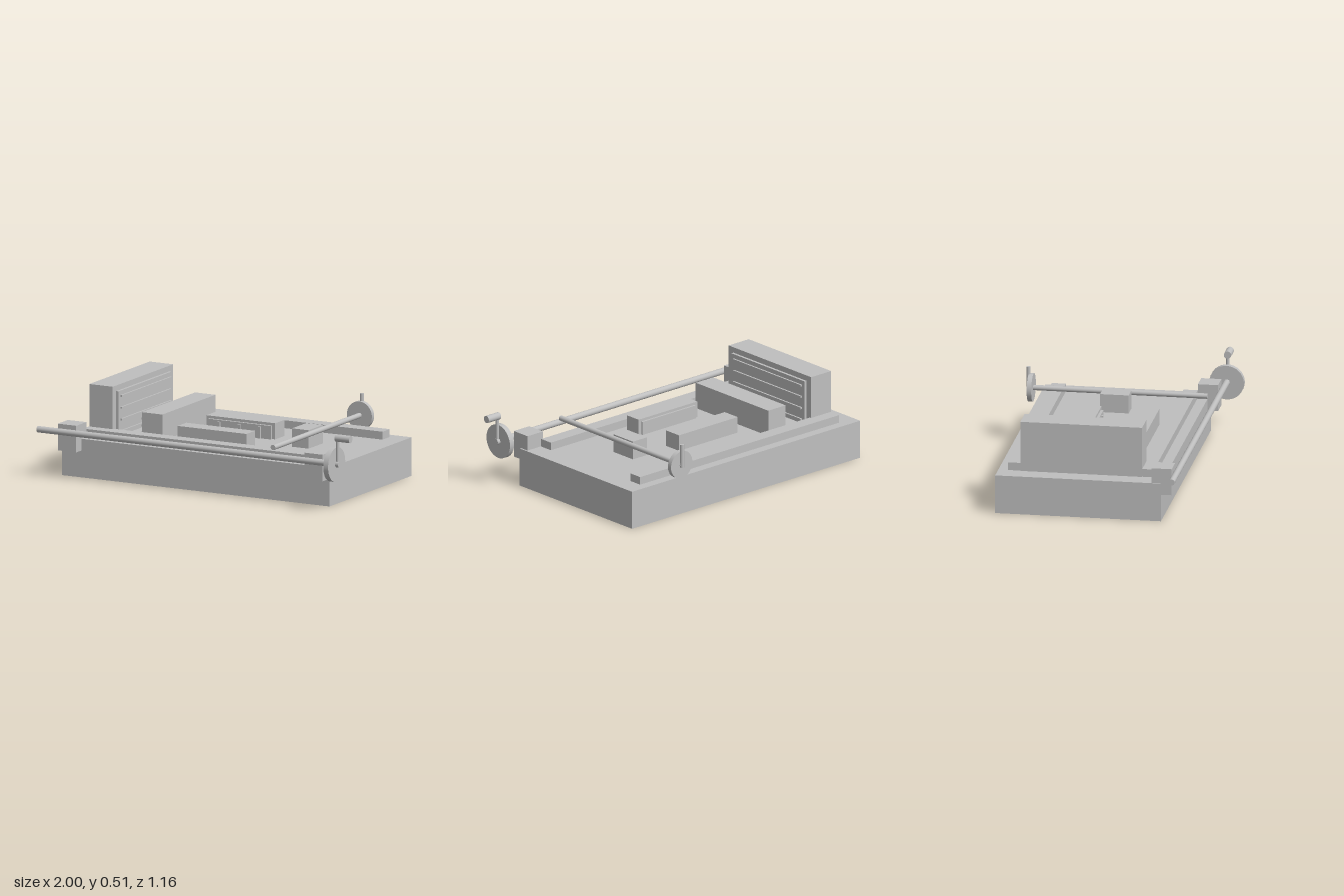
import * as THREE from 'three';

export function createModel() {
  const root = new THREE.Group();
  root.name = 'machineVise';
  const grey = new THREE.MeshStandardMaterial({ color: 0xbfbfbf });
  grey.name = 'plain grey';

  const add = (name, geometry) => {
    const mesh = new THREE.Mesh(geometry, grey);
    mesh.name = name;
    root.add(mesh);
    return mesh;
  };

  // Box given by its limits on each axis
  const box = (name, x0, x1, y0, y1, z0, z1) =>
    add(name, new THREE.BoxGeometry(x1 - x0, y1 - y0, z1 - z0))
      .position.set((x0 + x1) / 2, (y0 + y1) / 2, (z0 + z1) / 2);

  // Cylinder running along one axis, between two limits on that axis
  const rod = (name, axis, radius, from, to, x, y, z) => {
    const mesh = add(name, new THREE.CylinderGeometry(radius, radius, to - from, 32));
    mesh.position.set(x, y, z);
    mesh.position[axis] = (from + to) / 2;
    if (axis === 'x') mesh.rotation.z = -Math.PI / 2;
    if (axis === 'z') mesh.rotation.x = Math.PI / 2;
  };

  const deck = 0.22;

  // Base and guide rails
  box('base', -0.89, 0.82, 0, deck, -0.53, 0.407);
  box('backRail', -0.78, 0.71, deck, 0.265, -0.475, -0.395);
  box('frontRail', -0.78, 0.71, deck, 0.265, 0.27, 0.35);

  // Tall fixed jaw with ribbed face plate
  box('fixedJaw', -0.785, -0.635, deck, 0.507, -0.405, 0.283);
  box('fixedJawPlate', -0.635, -0.62, deck, 0.475, -0.365, 0.243);
  for (let i = 0; i < 4; i++) {
    const y = 0.445 - i * 0.067;
    box('fixedJawRib', -0.62, -0.61, y - 0.005, y + 0.005, -0.345, 0.222);
  }

  // Low sliding jaw with ribbed face plate
  box('slidingJaw', -0.475, -0.345, deck, 0.37, -0.37, 0.235);
  box('slidingJawPlate', -0.49, -0.475, deck, 0.345, -0.32, 0.21);
  for (const y of [0.325, 0.285, 0.245])
    box('slidingJawRib', -0.498, -0.49, y - 0.005, y + 0.005, -0.31, 0.2);

  // Pair of side clamps with inner plates
  box('backClamp', -0.255, 0.185, deck, 0.312, -0.215, -0.107);
  box('backClampPlate', -0.235, 0.165, deck, 0.297, -0.107, -0.092);
  for (const x of [-0.165, -0.035, 0.095])
    box('backClampRib', x - 0.008, x + 0.008, deck, 0.287, -0.092, -0.082);
  box('frontClamp', -0.255, 0.185, deck, 0.312, 0.122, 0.22);
  box('frontClampPlate', -0.235, 0.165, deck, 0.297, 0.11, 0.122);

  // Cross screw, its nut block and back handwheel
  box('nutBlock', 0.363, 0.468, deck, 0.325, -0.145, 0.017);
  rod('crossScrew', 'z', 0.015, -0.57, 0.443, 0.48, 0.307, 0);
  rod('backHandwheel', 'z', 0.08, -0.566, -0.54, 0.48, 0.307, 0);
  rod('backHandle', 'y', 0.012, 0.293, 0.428, 0.48, 0, -0.569);

  // Long screw, its bearings and crank wheel
  box('leftBearing', 0.695, 0.81, 0.153, 0.305, 0.353, 0.467);
  box('rightBearing', -0.883, -0.765, 0.153, 0.305, 0.353, 0.467);
  rod('longScrew', 'x', 0.018, -1, 0.93, 0, 0.265, 0.485);
  rod('crankWheel', 'x', 0.098, 0.88, 0.911, 0, 0.263, 0.485);
  rod('crankArm', 'y', 0.0095, 0.263, 0.41, 0.918, 0, 0.485);
  rod('crankKnob', 'x', 0.021, 0.908, 1, 0, 0.415, 0.485);

  return root;
}
